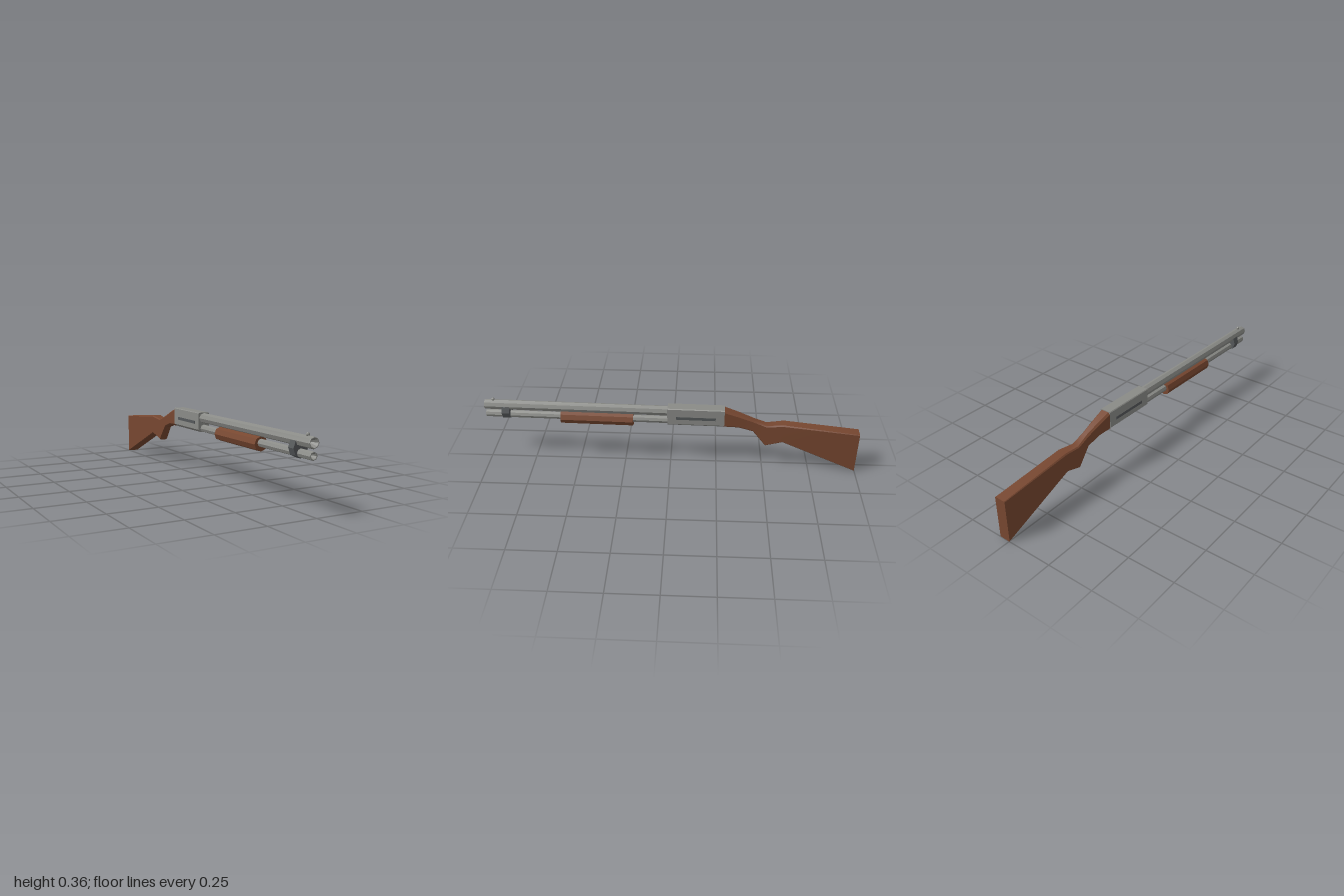
import * as THREE from 'three';
import { toCreasedNormals } from 'three/addons/utils/BufferGeometryUtils.js';

const paint = (name, color) => Object.assign(new THREE.MeshStandardMaterial({ color }), { name });

// Chamfered rectangle, counter-clockwise seen from the front
function section(z, top, bottom, half, cTop, cBot = cTop) {
  return [
    [half, bottom + cBot], [half, top - cTop], [half - cTop, top], [cTop - half, top],
    [-half, top - cTop], [-half, bottom + cBot], [cBot - half, bottom], [half - cBot, bottom],
  ].map(([x, y]) => [x, y, z]);
}

// Regular ring with a corner pointing up
function ring(z, y, rx, ry, n = 8) {
  return Array.from({ length: n }, (_, i) => {
    const a = (i / n) * Math.PI * 2;
    return [Math.cos(a) * rx, y + Math.sin(a) * ry, z];
  });
}

// Skin cross-sections listed from front to back, with end caps
function loft(rings) {
  const n = rings[0].length, index = [], last = (rings.length - 1) * n;
  for (let r = 0; r < rings.length - 1; r++) {
    for (let i = 0; i < n; i++) {
      const j = (i + 1) % n, a = r * n, b = a + n;
      index.push(a + i, b + i, b + j, a + i, b + j, a + j);
    }
  }
  for (let i = 1; i < n - 1; i++) {
    index.push(0, i, i + 1, last, last + i + 1, last + i);
  }
  const geo = new THREE.BufferGeometry();
  geo.setAttribute('position', new THREE.Float32BufferAttribute(rings.flat(2), 3));
  geo.setIndex(index);
  return geo;
}

// Eight-sided tube along z with a conical bore at the front end
function boredTube(radius, bore, z0, z1) {
  const profile = [[0, z0], [radius, z0], [radius, z1 - 0.006], [radius * 0.94, z1], [bore, z1], [0, z1 - 0.05]];
  return new THREE.LatheGeometry(profile.map(([x, y]) => new THREE.Vector2(x, y)), 8).rotateX(Math.PI / 2);
}

export function createModel() {
  const model = new THREE.Group();
  model.name = 'pumpShotgun';
  const metal = paint('steel', 0x8a8b87);
  const dark = paint('darkSteel', 0x55585a);
  const wood = paint('walnut', 0x774730);

  const add = (name, geo, mat, crease = 0.5) => {
    const mesh = new THREE.Mesh(toCreasedNormals(geo, crease), mat);
    mesh.name = name;
    model.add(mesh);
    return mesh;
  };

  // Barrel and magazine tube
  add('barrel', boredTube(0.027, 0.022, -0.02, 1), metal).position.y = 0.325;
  add('magazineTube', boredTube(0.02, 0.015, -0.02, 0.998), metal).position.y = 0.269;

  // Front sight bead
  const bead = add('frontSight', new THREE.SphereGeometry(0.009, 8, 6), metal, 1);
  bead.position.set(0, 0.356, 0.953);

  // Clamp joining barrel and magazine
  add('barrelClamp', loft([ring(0.905, 0.291, 0.038, 0.046), ring(0.865, 0.291, 0.038, 0.046)]), dark);

  // Sliding fore-end
  add('foreEnd', loft([
    ring(0.59, 0.264, 0.036, 0.036), ring(0.2, 0.264, 0.036, 0.036),
  ]), wood);

  // Receiver with a recessed strip on each side
  add('receiver', loft([
    section(0.016, 0.354, 0.25, 0.031, 0.004, 0.012),
    section(-0.286, 0.354, 0.25, 0.031, 0.004, 0.012),
  ]), metal);
  for (const side of [-1, 1]) {
    const strip = add('receiverStrip', new THREE.BoxGeometry(0.003, 0.016, 0.21), dark);
    strip.position.set(side * 0.0305, 0.298, -0.135);
  }

  // Stock: z, top, bottom, half width, chamfer
  add('stock', loft([
    [-0.28, 0.352, 0.251, 0.03, 0.009],
    [-0.36, 0.325, 0.246, 0.026, 0.01],
    [-0.44, 0.293, 0.223, 0.021, 0.009],
    [-0.51, 0.264, 0.138, 0.024, 0.006],
    [-0.6, 0.275, 0.168, 0.03, 0.006],
    [-1, 0.235, 0.001, 0.031, 0.003],
  ].map((s) => section(...s))), wood, 0.6);

  // The whole gun points very slightly off the z axis
  const root = new THREE.Group();
  root.name = 'model';
  model.rotation.y = -0.0245;
  model.position.x = 0.0025;
  root.add(model);
  return root;
}
